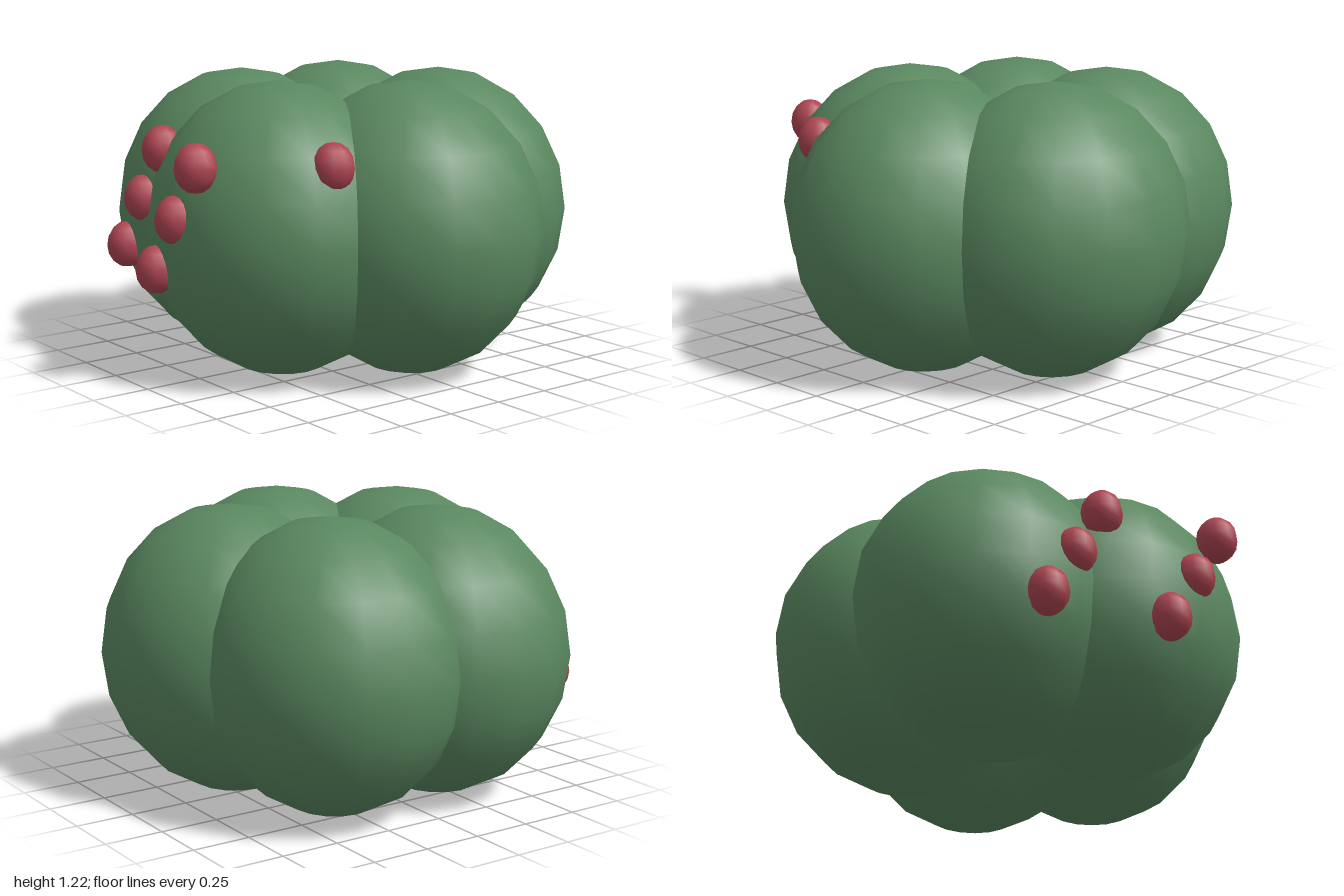
import * as THREE from 'three';

export function createModel() {
  const model = new THREE.Group();
  const green = new THREE.MeshStandardMaterial({ color: 0x5a8860 });
  green.name = 'leaf green';
  const red = new THREE.MeshStandardMaterial({ color: 0xae4552 });
  red.name = 'berry red';

  const lobeGeometry = new THREE.SphereGeometry(1, 16, 10).scale(0.587, 0.611, 0.54);
  const berryGeometry = new THREE.SphereGeometry(1, 10, 8).scale(0.086, 0.1, 0.088);

  function add(name, geometry, material, x, y, z) {
    const mesh = new THREE.Mesh(geometry, material);
    mesh.name = name;
    mesh.position.set(x, y, z);
    model.add(mesh);
  }

  // Ring of five overlapping foliage lobes
  const lobes = [];
  for (let i = 0; i < 5; i++) {
    const a = (i * Math.PI * 2) / 5;
    const x = -0.043 + 0.453 * Math.cos(a);
    const z = -0.025 + 0.453 * Math.sin(a);
    lobes.push([x, z]);
    add(`foliageLobe${i + 1}`, lobeGeometry, green, x, 0.614, z);
  }

  // Diagonal rows of berries on the front of the lobes; the side lobe shows only its top one
  [[0, [1]], [1, [-1, 0, 1]], [2, [-1, 0, 1]]].forEach(([lobe, steps]) => {
    const [x, z] = lobes[lobe];
    for (const s of steps) {
      add('berry', berryGeometry, red, x + 0.15 * s, 0.705 + 0.226 * s, z + 0.507);
    }
  });

  return model;
}
